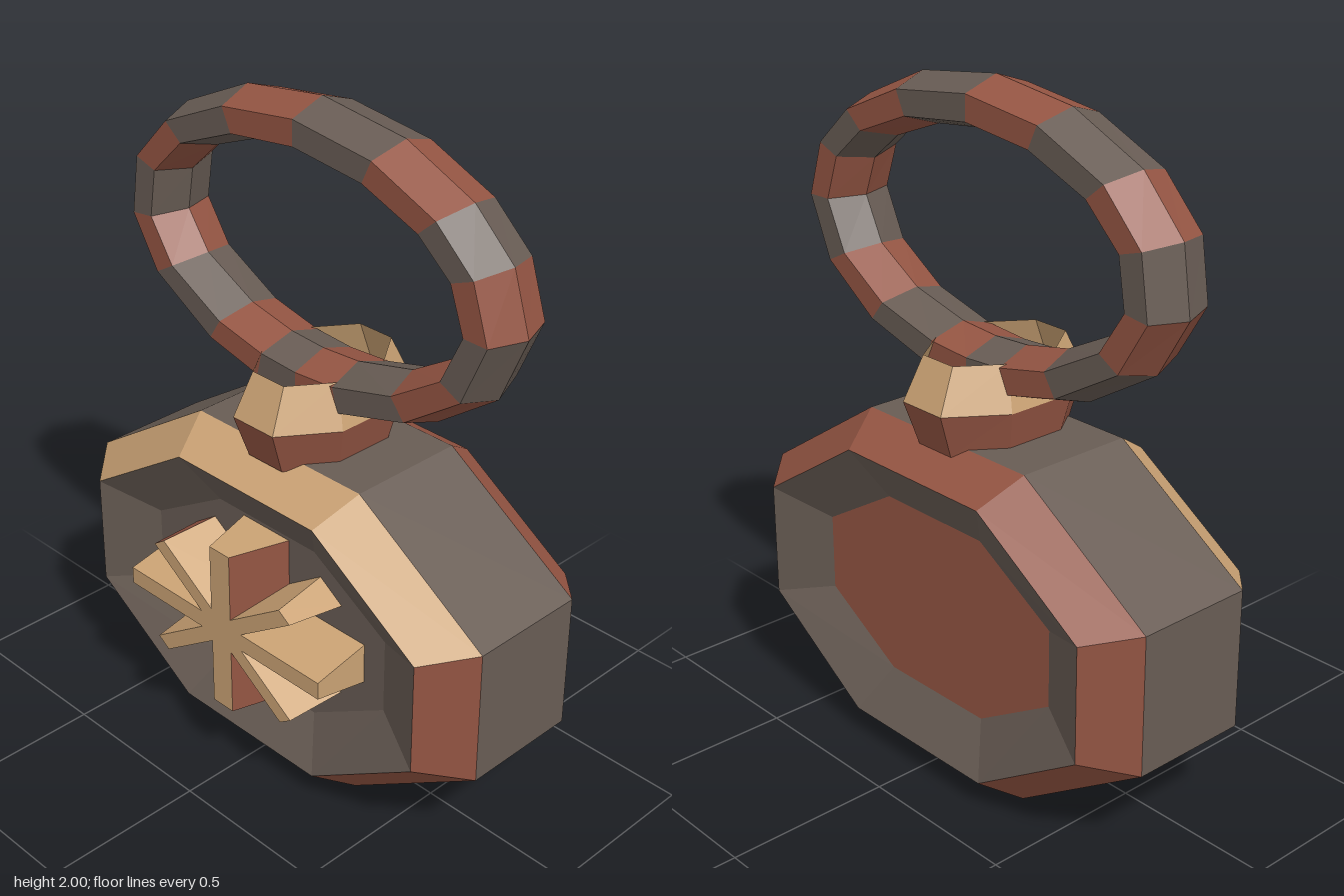
import * as THREE from 'three';

const mat = (name, color) => {
  const m = new THREE.MeshStandardMaterial({ color, side: THREE.DoubleSide });
  m.name = name;
  return m;
};

// One flat-shaded mesh per colour from faces of the form { c: material, p: [3 or 4 points] }
function build(name, faces) {
  const group = new THREE.Group();
  group.name = name;
  for (const m of new Set(faces.map(f => f.c))) {
    const pos = [];
    for (const { c, p } of faces) {
      if (c !== m) continue;
      for (let k = 1; k < p.length - 1; k++) pos.push(...p[0], ...p[k], ...p[k + 1]);
    }
    const geo = new THREE.BufferGeometry();
    geo.setAttribute('position', new THREE.Float32BufferAttribute(pos, 3));
    geo.computeVertexNormals();
    const mesh = new THREE.Mesh(geo, m);
    mesh.name = name + ' ' + m.name;
    group.add(mesh);
  }
  return group;
}

// Octagon with flat sides: half width a, half height b, at depth z
const octagon = (a, b, z) => Array.from({ length: 8 }, (_, i) => {
  const t = (i - 0.5) * Math.PI / 4, s = Math.cos(Math.PI / 8);
  return [a * Math.cos(t) / s, b * Math.sin(t) / s, z];
});

// Faces joining consecutive octagons; pick(band, side) gives the colour
function loft(rings, pick) {
  const faces = [];
  for (let r = 0; r < rings.length - 1; r++) {
    for (let i = 0; i < 8; i++) {
      const j = (i + 1) % 8, A = rings[r], B = rings[r + 1];
      faces.push({ c: pick(r, i), p: [A[i], A[j], B[j], B[i]] });
    }
  }
  return faces;
}

export function createModel() {
  const tan = mat('tan', 0xcaa274);
  const red = mat('red brown', 0x945543);
  const gray = mat('warm gray', 0x685c54);
  const model = new THREE.Group();
  model.name = 'pendant';

  // Octagonal body with bevelled rims and a recess on both faces
  const rings = [
    octagon(0.47, 0.28, -0.28), octagon(0.655, 0.423, -0.36),
    octagon(0.777, 0.505, -0.235), octagon(0.777, 0.505, 0.135),
    octagon(0.655, 0.423, 0.265), octagon(0.47, 0.28, 0.18),
  ];
  const faces = loft(rings, (band, side) => {
    if (band === 1) return red;
    if (band === 3) return side >= 1 && side <= 4 ? tan : red;
    return gray;
  });
  faces.push({ c: red, p: [...rings[0]].reverse() }, { c: gray, p: rings[5] });
  const body = build('body', faces);
  body.position.y = 0.507;
  model.add(body);

  // Eight-armed star, each arm tapering towards the front
  const star = [];
  for (let i = 0; i < 8; i++) {
    const a = i * Math.PI / 4, diagonal = i % 2 === 1;
    const L = diagonal ? 0.37 : 0.393;
    const b = diagonal ? 0.06 : 0.095, t = diagonal ? 0.03 : 0.04;
    const P = (l, w, z) => [
      l * Math.cos(a) - w * Math.sin(a),
      0.68 * (l * Math.sin(a) + w * Math.cos(a)), z];
    const lo = 0.175, hi = 0.36;
    const sideColor = n => (Math.sin(n) < -0.1 || Math.cos(n) > 0.9 ? red : tan);
    star.push(
      { c: tan, p: [P(0, -t, hi), P(L, -t, hi), P(L, t, hi), P(0, t, hi)] },
      { c: i === 3 ? red : tan, p: [P(L, -b, lo), P(L, b, lo), P(L, t, hi), P(L, -t, hi)] },
      { c: sideColor(a + Math.PI / 2), p: [P(L, b, lo), P(0, b, lo), P(0, t, hi), P(L, t, hi)] },
      { c: sideColor(a - Math.PI / 2), p: [P(0, -b, lo), P(L, -b, lo), P(L, -t, hi), P(0, -t, hi)] },
    );
  }
  const starGroup = build('star', star);
  starGroup.position.y = 0.51;
  model.add(starGroup);

  // Open collar holding the ring
  const collar = build('collar', loft(
    [octagon(0.16, 0.225, 0.99), octagon(0.19, 0.27, 1.123), octagon(0.148, 0.21, 1.25)],
    band => (band === 0 ? red : tan)));
  collar.rotation.x = -Math.PI / 2;
  collar.position.z = -0.045;
  model.add(collar);

  // Oval ring of alternating segments with a hexagonal section
  const angles = [90.5, 66, 43, 23, -1, -28, -53, -76, -90, -103, -121, -148, -172, -198, -221, -246];
  const sections = angles.map(d => Array.from({ length: 6 }, (_, j) => {
    const t = d * Math.PI / 180, f = j * Math.PI / 3;
    return [
      (0.64 + 0.08 * Math.cos(f)) * Math.cos(t),
      (0.365 + 0.075 * Math.cos(f)) * Math.sin(t),
      0.11 * Math.sin(f) / Math.sin(Math.PI / 3)];
  }));
  const links = [];
  sections.forEach((A, i) => {
    const B = sections[(i + 1) % sections.length];
    for (let j = 0; j < 6; j++) {
      const k = (j + 1) % 6;
      links.push({ c: i % 2 ? red : gray, p: [A[j], A[k], B[k], B[j]] });
    }
  });
  const ring = build('ring', links);
  ring.position.set(0, 1.56, -0.045);
  model.add(ring);

  return model;
}
